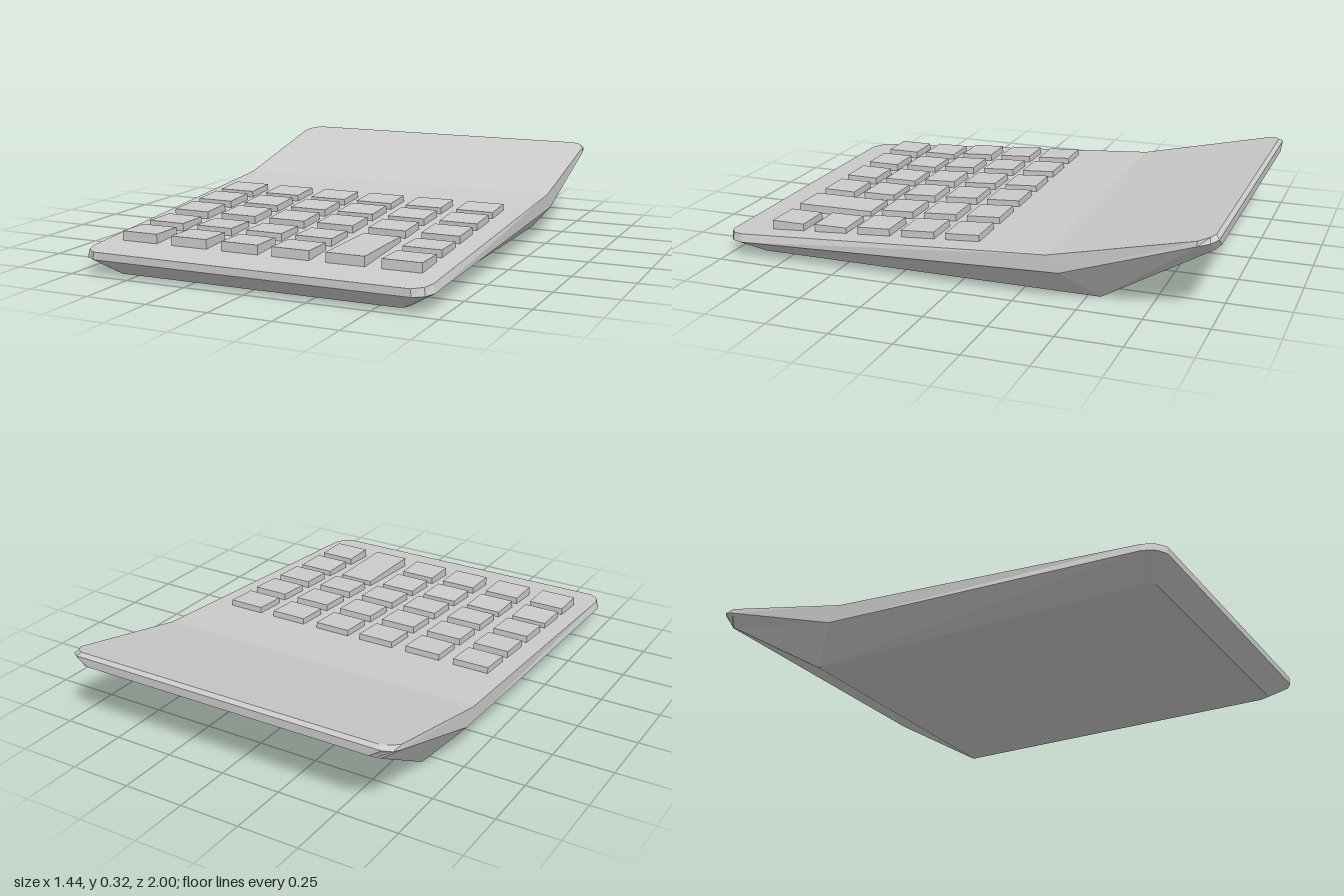
import * as THREE from 'three';

const material = new THREE.MeshStandardMaterial({ color: 0xcccccc, flatShading: true });

// Half outlines on the +x side, front to back: corner, fold, corner
const bottomRim = [
  [0.57, 0, 0.92], [0.59, 0, 0.91], [0.6, 0, 0.88],
  [0.6, 0, -0.55],
  [0.66, 0.257, -0.97], [0.65, 0.266, -0.985], [0.63, 0.275, -1],
];
const edgeRim = [
  [0.65, 0.065, 1], [0.69, 0.066, 0.975], [0.71, 0.068, 0.93],
  [0.717, 0.12, -0.42],
  [0.72, 0.29, -0.93], [0.712, 0.303, -0.975], [0.68, 0.31, -1],
];
const topRim = [
  [0.645, 0.095, 1], [0.685, 0.097, 0.97], [0.7, 0.1, 0.925],
  [0.717, 0.185, -0.37],
  [0.717, 0.31, -0.93], [0.69, 0.32, -0.97], [0.66, 0.323, -0.985],
];

const mirror = ([x, y, z]) => [-x, y, z];

function createBody() {
  const positions = [];
  const quad = (a, b, c, d) => positions.push(...a, ...b, ...c, ...a, ...c, ...d);

  // Walls between neighbouring rims
  const rings = [bottomRim, edgeRim, topRim].map((half) => [...half, ...half.map(mirror).reverse()]);
  for (let r = 0; r < rings.length - 1; r++) {
    const low = rings[r], high = rings[r + 1];
    for (let i = 0; i < low.length; i++) {
      const j = (i + 1) % low.length;
      quad(low[i], low[j], high[j], high[i]);
    }
  }

  // Folded top and bottom faces, strip by strip
  for (let i = 0; i < topRim.length - 1; i++) {
    quad(topRim[i], topRim[i + 1], mirror(topRim[i + 1]), mirror(topRim[i]));
    quad(mirror(bottomRim[i]), mirror(bottomRim[i + 1]), bottomRim[i + 1], bottomRim[i]);
  }

  const geometry = new THREE.BufferGeometry();
  geometry.setAttribute('position', new THREE.Float32BufferAttribute(positions, 3));
  geometry.computeVertexNormals();
  const body = new THREE.Mesh(geometry, material);
  body.name = 'body';
  return body;
}

function createKey(name, x, top, z, depth, tilt) {
  const height = 0.05;
  const key = new THREE.Mesh(new THREE.BoxGeometry(0.155, height, depth), material);
  key.position.set(x, top - height / 2, z);
  key.rotation.x = tilt;
  key.name = name;
  return key;
}

function createKeypad() {
  const keypad = new THREE.Group();
  keypad.name = 'keypad';
  const columns = [-0.553, -0.333, -0.113, 0.1, 0.322, 0.543];
  // Rows from back to front; the rear ones follow the slope of the deck
  const rows = [
    { z: 0, top: 0.186, tilt: 0.065 },
    { z: 0.187, top: 0.176, tilt: 0.065 },
    { z: 0.377, top: 0.165, tilt: 0.055 },
    { z: 0.567, top: 0.15, tilt: 0.01 },
    { z: 0.757, top: 0.144, tilt: 0 },
  ];
  rows.forEach(({ z, top, tilt }, r) => {
    columns.forEach((x, c) => {
      if (c === 4 && r >= 3) return; // taken by the tall key
      keypad.add(createKey('key', x, top, z, 0.14, tilt));
    });
  });
  keypad.add(createKey('tallKey', columns[4], 0.147, 0.662, 0.33, 0.01));
  return keypad;
}

export function createModel() {
  const model = new THREE.Group();
  model.name = 'calculator';
  model.add(createBody(), createKeypad());
  return model;
}
